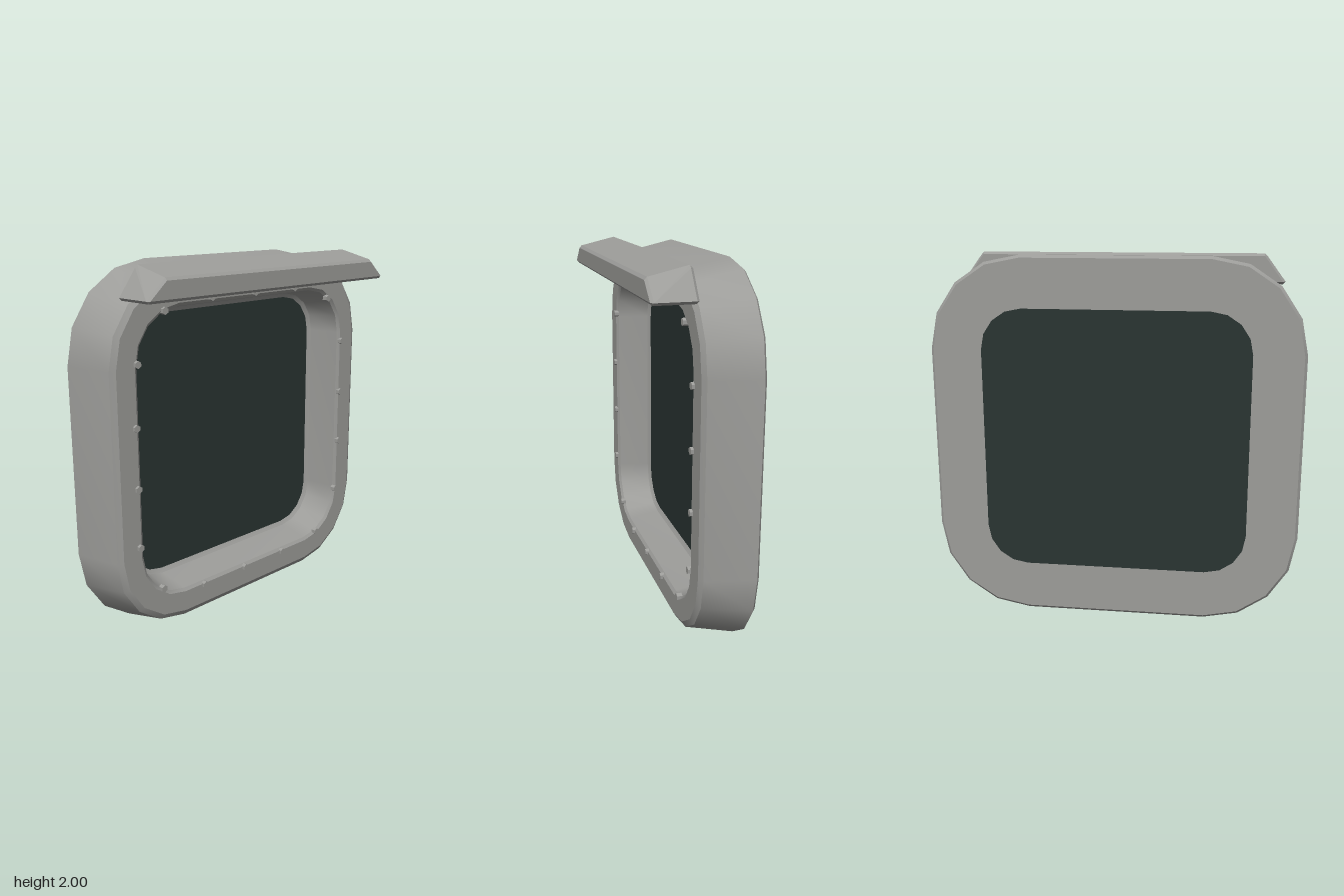
import * as THREE from 'three';
import { ConvexGeometry } from 'three/addons/geometries/ConvexGeometry.js';

const CORNER = 0.5; // corner arc centres, shared by every ring
const SEGS = 4;

// Rounded square outline of a given half size, counter-clockwise from the front
function ring(half) {
  const pts = [], r = half - CORNER;
  for (let c = 0; c < 4; c++) {
    const mid = Math.PI / 4 + c * Math.PI / 2;
    const cx = CORNER * Math.sign(Math.cos(mid)), cy = CORNER * Math.sign(Math.sin(mid));
    for (let i = 0; i <= SEGS; i++) {
      const a = (c + i / SEGS) * Math.PI / 2;
      pts.push(new THREE.Vector2(cx + r * Math.cos(a), cy + r * Math.sin(a)));
    }
  }
  return pts;
}

// Closed profile [half size, z] swept round the rounded square; each band is smooth, band edges sharp
function frameGeometry(profile) {
  const pos = [], index = [];
  profile.forEach((p, k) => {
    const q = profile[(k + 1) % profile.length];
    const base = pos.length / 3, a = ring(p[0]), b = ring(q[0]), n = a.length;
    a.forEach(v => pos.push(v.x, v.y, p[1]));
    b.forEach(v => pos.push(v.x, v.y, q[1]));
    for (let i = 0; i < n; i++) {
      const j = (i + 1) % n;
      index.push(base + i, base + j, base + n + j, base + i, base + n + j, base + n + i);
    }
  });
  const g = new THREE.BufferGeometry();
  g.setAttribute('position', new THREE.Float32BufferAttribute(pos, 3));
  g.setIndex(index);
  g.computeVertexNormals();
  return g;
}

// Tapered bar with chamfered edges
function visorGeometry() {
  const b = 0.014, pts = [];
  for (const sx of [-1, 1]) for (const top of [0, 1]) for (const front of [0, 1]) {
    const x = sx * (top ? 0.785 : 0.885);
    const y = top ? (front ? 1.953 : 2.0) : 1.838;
    const z = front ? 0.258 : 0.03;
    const dx = -sx * b, dy = top ? -b : b, dz = front ? -b : b;
    pts.push(new THREE.Vector3(x, y + dy, z + dz),
      new THREE.Vector3(x + dx, y, z + dz),
      new THREE.Vector3(x + dx, y + dy, z));
  }
  return new ConvexGeometry(pts);
}

export function createModel() {
  const model = new THREE.Group();
  const metal = new THREE.MeshStandardMaterial({ color: 0x9c9c99 });
  metal.name = 'grey metal';
  const dark = new THREE.MeshStandardMaterial({ color: 0x2a3432 });
  dark.name = 'dark glass';

  const add = (name, geometry, material, x = 0, y = 0, z = 0, parent = model) => {
    const mesh = new THREE.Mesh(geometry, material);
    mesh.name = name;
    mesh.position.set(x, y, z);
    parent.add(mesh);
    return mesh;
  };

  // Frame: back edge, sloping outer wall, front face, inner wall and glass lip
  add('frame', frameGeometry([
    [0.985, -0.259], [1.0, -0.246], [0.94, 0.01], [0.91, 0.028],
    [0.795, 0.028], [0.778, 0.015], [0.745, -0.165], [0.735, -0.172],
    [0.722, -0.18], [0.722, -0.259],
  ]), metal, 0, 1, 0);

  // Glass pane, flush with the back
  const pane = new THREE.ExtrudeGeometry(new THREE.Shape(ring(0.722)), { depth: 0.078, bevelEnabled: false });
  add('glass', pane, dark, 0, 1, -0.259);

  // Visor over the top of the window
  add('visor', visorGeometry(), metal);

  // Hexagonal bolts round the window
  const bolts = new THREE.Group();
  bolts.name = 'bolts';
  model.add(bolts);
  const bolt = new THREE.CylinderGeometry(0.02, 0.02, 0.03, 6).toNonIndexed();
  bolt.rotateX(Math.PI / 2);
  bolt.computeVertexNormals();
  [
    [-0.785, 1.52], [-0.805, 1.2], [-0.805, 0.88], [-0.805, 0.56], [-0.66, 0.28], [-0.36, 0.2],
    [-0.04, 0.2], [0.28, 0.2], [0.6, 0.24], [0.78, 0.485], [0.8, 0.805], [0.8, 1.125],
    [0.8, 1.445], [0.655, 1.72], [0.355, 1.805], [0.035, 1.805], [-0.285, 1.805], [-0.605, 1.765],
  ].forEach(([x, y]) => add('bolt', bolt, metal, x, y, 0.028, bolts));

  return model;
}
